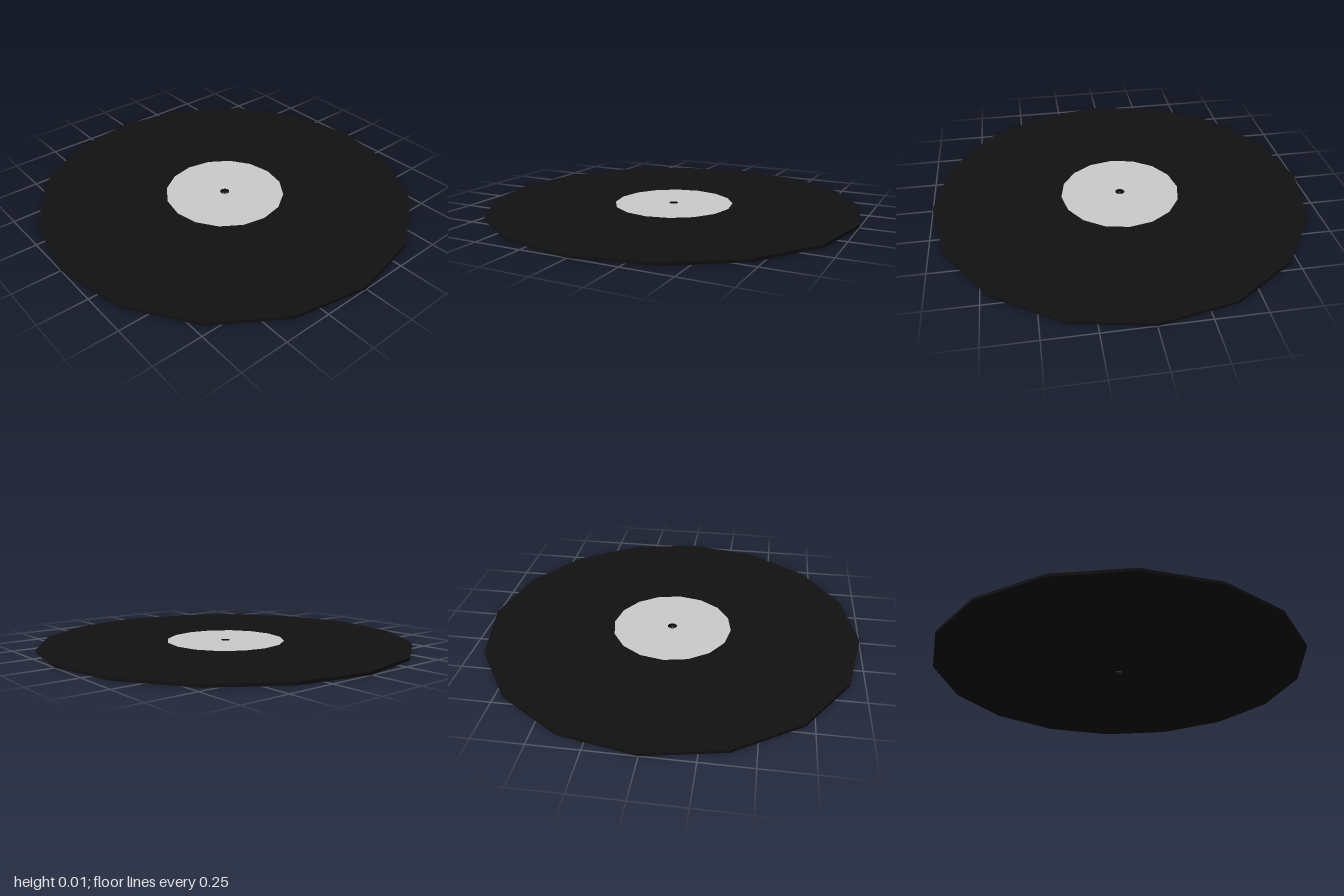
import * as THREE from 'three';

const SIDES = 16;
const THICKNESS = 0.015;
const LABEL_RADIUS = 0.32;
const HOLE_RADIUS = 0.025;

// Faceted ring swept from a list of [radius, height] points
function turnedPart(name, profile, color) {
  const points = profile.map(([r, y]) => new THREE.Vector2(r, y));
  const material = new THREE.MeshStandardMaterial({ color, flatShading: true });
  const mesh = new THREE.Mesh(new THREE.LatheGeometry(points, SIDES), material);
  mesh.name = name;
  return mesh;
}

export function createModel() {
  const record = new THREE.Group();
  record.name = 'record';

  // Hole wall, underside, rim and playing surface
  record.add(turnedPart('disc', [
    [HOLE_RADIUS, THICKNESS],
    [HOLE_RADIUS, 0],
    [1, 0],
    [1, THICKNESS],
    [LABEL_RADIUS, THICKNESS],
  ], 0x111111));

  // Label flush with the playing surface
  record.add(turnedPart('label', [
    [LABEL_RADIUS, THICKNESS],
    [HOLE_RADIUS, THICKNESS],
  ], 0xcccccc));

  return record;
}
